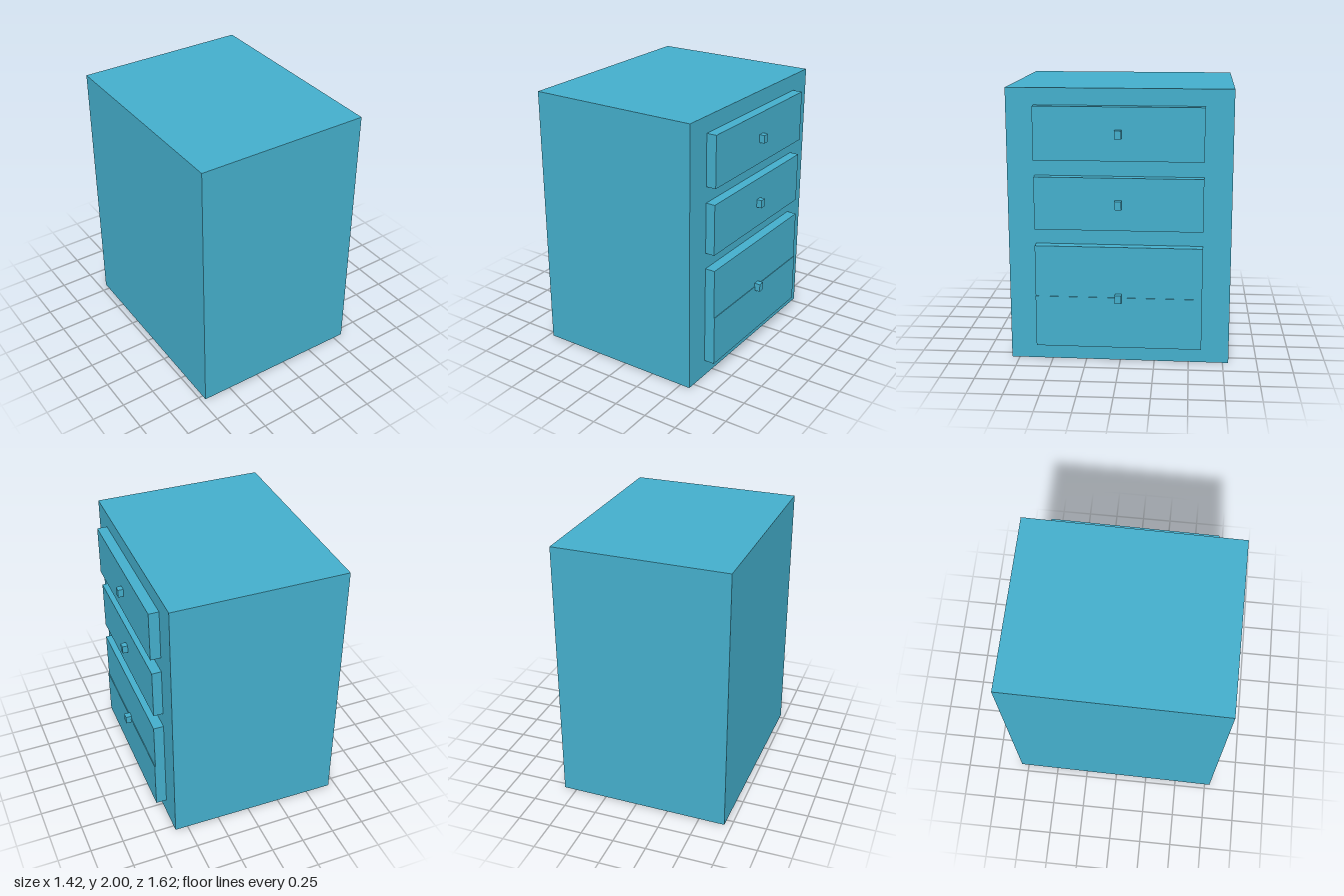
import * as THREE from 'three';

export function createModel() {
  const group = new THREE.Group();
  group.name = 'drawerCabinet';
  const material = new THREE.MeshStandardMaterial({ color: 0x44aecb, flatShading: true });

  // Box given by its x and y ranges and its depth, centred on z = 0
  const addBox = (name, x0, x1, y0, y1, depth) => {
    const mesh = new THREE.Mesh(new THREE.BoxGeometry(x1 - x0, y1 - y0, depth), material);
    mesh.position.set((x0 + x1) / 2, (y0 + y1) / 2, 0);
    mesh.name = name;
    group.add(mesh);
  };

  // Cabinet body
  const face = 0.587;
  addBox('cabinetBody', -0.706, face, 0, 2, 1.6);

  // Drawer fronts on the +x side; the deep bottom one is made of two panels
  const drawers = [
    ['topDrawer', 1.5, 1.88, 0.662],
    ['middleDrawer', 1, 1.38, 0.657],
    ['bottomDrawerUpperPanel', 0.505, 0.88, 0.662],
    ['bottomDrawerLowerPanel', 0.127, 0.505, 0.667],
  ];
  for (const [name, y0, y1, front] of drawers) addBox(name, face - 0.01, front, y0, y1, 1.2);

  // Small square knobs
  const knobs = [['topKnob', 1.69, 0.702], ['middleKnob', 1.19, 0.697], ['bottomKnob', 0.503, 0.707]];
  for (const [name, y, tip] of knobs) addBox(name, 0.65, tip, y - 0.03, y + 0.03, 0.048);

  // The whole cabinet stands very slightly turned
  group.rotation.y = -0.0125;
  return group;
}
